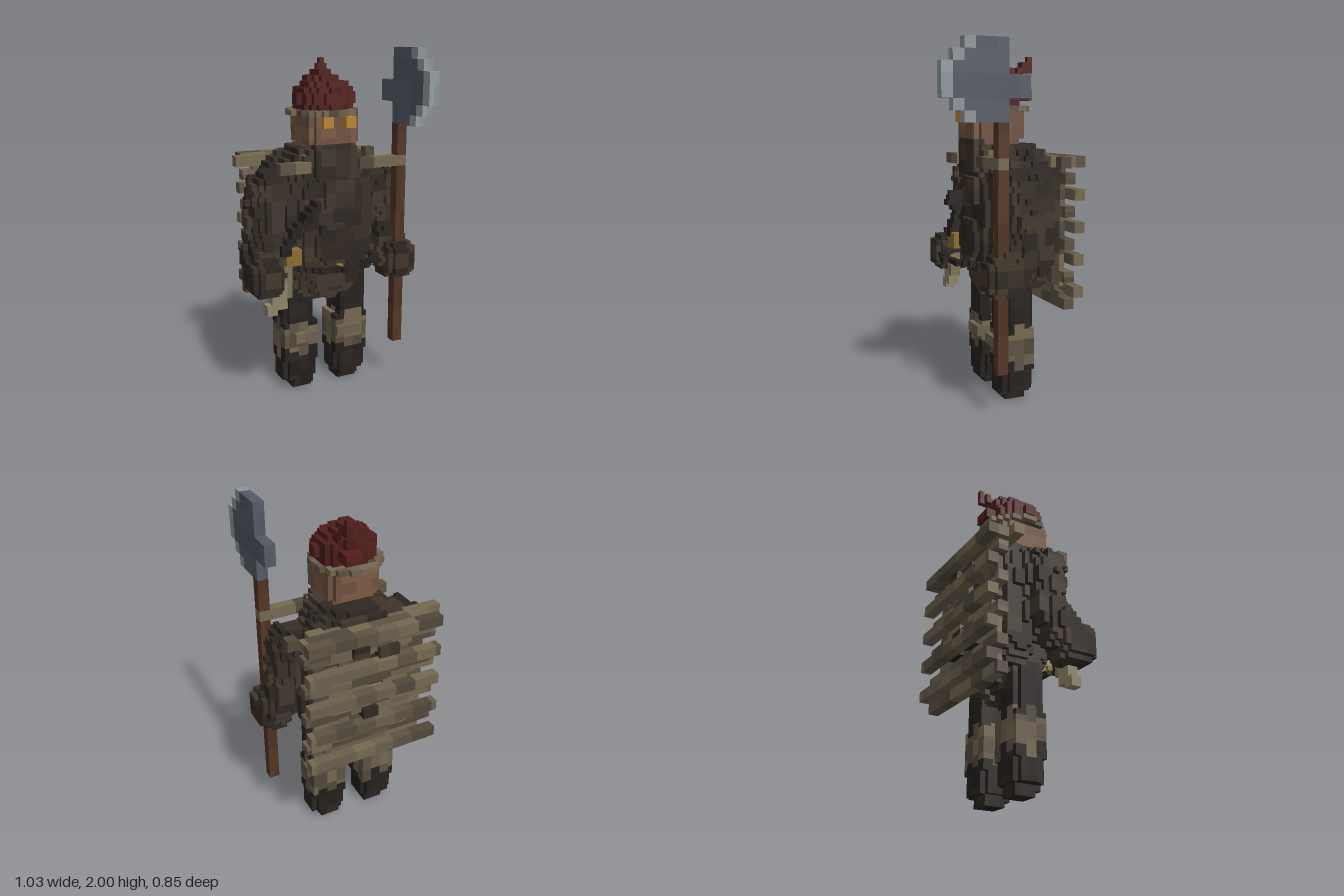
import * as THREE from 'three';

const U = 2 / 66; // edge of one cube
const FUR = [0x302821, 0x382f27, 0x41362c, 0x2b2520];
const TAN = [0x6b5f4e, 0x5d5243, 0x74684f, 0x51483b];
const DARK = [0x26211f, 0x2b2522, 0x211d1b];
const WOOD = [0x543625, 0x4d3122];
const RED = [0x4f1e1b, 0x571f1d, 0x461a18];
const SKIN = [0x7a5a45, 0x6e503e];
const STEEL = [0x555a66, 0x505561];
const EDGE = [0x8b9499, 0x949da1];

// repeatable 0..1 noise from a cell
function hash(x, y, z) {
  let h = (x * 374761393 + y * 668265263 + z * 1274126177) | 0;
  h = Math.imul(h ^ (h >>> 13), 1274126177);
  return ((h ^ (h >>> 16)) >>> 0) / 4294967296;
}
const noise = (x, y, z, n) => hash(Math.floor(x / n), Math.floor(y / n), Math.floor(z / n));

const DIRS = [[1, 0, 0], [-1, 0, 0], [0, 1, 0], [0, -1, 0], [0, 0, 1], [0, 0, -1]];

// cube-built part: paint(x,y,z) gives a palette, or null where empty
function voxels(name, [x0, y0, z0], [x1, y1, z1], paint, patch = [3, 3, 3]) {
  const at = (x, y, z) => x >= x0 && x < x1 && y >= y0 && y < y1 && z >= z0 && z < z1
    ? paint(x + 0.5, y + 0.5, z + 0.5) : null;
  const byColor = new Map();
  for (let x = x0; x < x1; x++) for (let y = y0; y < y1; y++) for (let z = z0; z < z1; z++) {
    const pal = at(x, y, z);
    if (!pal) continue;
    const n = hash(Math.floor(x / patch[0]), Math.floor(y / patch[1]), Math.floor(z / patch[2]));
    const color = pal[Math.floor(n * pal.length)];
    if (!byColor.has(color)) byColor.set(color, []);
    const out = byColor.get(color);
    for (const d of DIRS) {
      if (at(x + d[0], y + d[1], z + d[2])) continue;
      const a = d.findIndex((v) => v !== 0), b = (a + 1) % 3, c = (a + 2) % 3;
      const corner = (s, t) => {
        const p = [x, y, z];
        if (d[a] > 0) p[a] += 1;
        p[b] += s; p[c] += t;
        return p.map((v) => v * U);
      };
      const q = [corner(0, 0), corner(1, 0), corner(1, 1), corner(0, 1)];
      if (d[a] < 0) q.reverse();
      for (const i of [0, 1, 2, 0, 2, 3]) out.push(...q[i]);
    }
  }
  const part = new THREE.Group();
  part.name = name;
  for (const [color, pos] of byColor) {
    if (!pos.length) continue;
    const g = new THREE.BufferGeometry();
    g.setAttribute('position', new THREE.Float32BufferAttribute(pos, 3));
    g.computeVertexNormals();
    const mesh = new THREE.Mesh(g, new THREE.MeshStandardMaterial({ color }));
    mesh.name = name;
    part.add(mesh);
  }
  return part;
}

const block = (name, lo, hi, pal, patch) => voxels(name, lo, hi, () => pal, patch);

// rounded solid; power 2 is an ellipsoid, higher is boxier
const inBlob = (x, y, z, c, r, p = 2) =>
  Math.abs((x - c[0]) / r[0]) ** p + Math.abs((y - c[1]) / r[1]) ** p + Math.abs((z - c[2]) / r[2]) ** p <= 1;

// limb swept between two points with changing radius
function inLimb(x, y, z, a, b, ra, rb) {
  const p = new THREE.Vector3(x, y, z), A = new THREE.Vector3(...a);
  const ab = new THREE.Vector3(...b).sub(A);
  const t = THREE.MathUtils.clamp(p.clone().sub(A).dot(ab) / ab.lengthSq(), 0, 1);
  const lump = (noise(x, y, z, 2) - 0.5) * 0.9;
  return p.distanceTo(A.addScaledVector(ab, t)) <= ra + (rb - ra) * t + lump;
}

export function createModel() {
  const model = new THREE.Group();
  const add = (...parts) => model.add(...parts);

  // fur coat with a round belly, tapered hem and broad cape at the back
  add(voxels('coat', [-12, 18, -11], [12, 48, 4], (x, y, z) => {
    const lump = 1 + (noise(x, y, z, 3) - 0.5) * 0.06;
    const body = inBlob(x, y, z, [0, 33, -3], [10.3 * lump, 15.3 * lump, 6.2], y < 33 ? 2.4 : 3);
    const belly = inBlob(x, y, z, [0, 30, -3], [9.5, 9, 6.9], 2.3);
    const cape = inBlob(x, y, z, [0, 34, -6], [11.4 * lump, 13.5, 4.3], 3.5);
    return body || belly || cape ? FUR : null;
  }));
  add(block('bellyPlate', [-3, 27, 3], [3, 34, 4], FUR, [6, 7, 1]));
  add(block('chestPatch', [-2, 37, 2], [4, 42, 4], FUR, [6, 5, 2]));

  for (const s of [-1, 1]) {
    // arms and hands
    add(voxels(s > 0 ? 'leftArm' : 'rightArm', [-17, 22, -8], [17, 46, 6], (x, y, z) => {
      const X = x * s;
      if (X < 6) return null;
      const arm = inLimb(X, y, z, [11, 40.3, -2], [12.2, 33, -2], 4, 3.7) ||
        inLimb(X, y, z, [12.2, 33, -2], [13.4, 27, 0.3], 3.7, 3.7);
      const hand = inBlob(X, y, z, [13.8, 25.5, 2.2], [3.4, 3.9, 3.9], 2.6);
      return arm || hand ? FUR : null;
    }));

    // legs: boots, wrapped shins and trousers
    add(voxels(s > 0 ? 'leftLeg' : 'rightLeg', [-9, 0, -6], [9, 23, 0], (x, y, z) => {
      const X = x * s;
      if (X < (y < 14 ? 2 : 3)) return null;
      if (y < 2 && (X < 3 || X > 7 || z > (y < 1 ? -1 : 0) || z < -5)) return null;
      const corner = (X < 3 || X > 8) && (z > -1 || z < -5);
      if (corner && (y < 6 || y > 14)) return null;
      const ragged = hash(Math.floor(x / 2), 5, Math.floor(z / 2)) * 3;
      return y > 6 + ragged && y < 15.5 - ragged ? TAN : DARK;
    }, [2, 3, 2]));
    const k = s > 0 ? 2 : -7;
    add(block('kneePad', [k, 10, 0], [k + 5, 12, 1], TAN, [5, 2, 1]));

    // bar over the front of the shoulder
    add(block('shoulderBar', [s > 0 ? 5 : -11, 44, 2], [s > 0 ? 15 : -5, 46, 4], TAN, [4, 2, 2]));
    // strap running back over the shoulder
    add(block('shoulderStrap', [s > 0 ? 5 : -6, 46, -5], [s > 0 ? 6 : -5, 47, 2], TAN));
  }

  // slatted board on the back: proud slats, set-back slats and a worn panel
  for (let i = 0; i < 5; i++) {
    const y = 20 + i * 6;
    add(block('outerSlat', [-13, y, -14], [13, y + 2, -12], TAN, [4, 2, 2]));
    const yi = i === 0 ? 18 : y - 3;
    add(block('innerSlat', [-13, yi, -12], [13, yi + 2, -10], TAN, [4, 2, 2]));
  }
  add(voxels('boardPanel', [-11, 20, -11], [11, 46, -10], (x, y) =>
    hash(Math.floor(x / 3), Math.floor(y), 3) < 0.08 ? null : TAN, [4, 2, 2]));
  add(block('upperBackSlat', [-13, 44, -12], [13, 46, -10], TAN, [4, 2, 2]));
  add(block('topSlat', [-15, 44, -10], [11, 46, -8], TAN, [4, 2, 2]));
  add(block('topSlatEnd', [13, 44, -10], [15, 46, -8], TAN, [4, 2, 2]));
  // cloth bulging out between the slats
  for (const [x, y, w] of [[-5, 40, 4], [1, 41, 3], [-1, 28, 3]])
    add(block('clothTuft', [x, y, -13], [x + w, y + 2, -10], FUR));
  add(voxels('clothFold', [-5, 45, -13], [5, 47, -9], (x, y, z) =>
    inBlob(x, 0, z, [0.5, 0, -9], [4.8, 1, 3.9]) && (y < 46 || z > -10) ? FUR : null));

  // rope hoop around the waist
  add(voxels('waistRope', [-11, 26, -13], [11, 27, 9], (x, y, z) => {
    const r = Math.hypot(x, z + 2);
    return r > 9.6 && r < 10.6 ? DARK : null;
  }));
  add(block('buckle', [-1, 26, 6], [0, 27, 7], [0x8f7434]));
  // slanting chest strap with a raised end
  add(voxels('chestStrap', [-11, 29, 2], [-4, 39, 6], (x, y, z) =>
    Math.abs((y - 39) - (x + 4) * 1.5) < 1.5 && z < (y > 36 ? 6 : y > 35 ? 5 : 4) ? DARK : null));

  // pouch and hanging charms on the right hip
  add(block('pouch', [-10, 27, 2], [-7, 30, 4], [0x8a6c2e]));
  for (const [x, y, w, h] of [[-11, 24, 2, 3], [-11, 21, 2, 3], [-13, 19, 3, 3], [-14, 18, 2, 2]])
    add(block('charm', [x, y, 2], [x + w, y + h, 4], [0x8d8468, 0x7a7159], [2, 2, 2]));

  // head, scarf and eyes
  add(voxels('head', [-5, 47, -6], [5, 54, 4], (x, y, z) => {
    if (Math.abs(x) > 4 && (z < -5 || z > 3)) return null;
    if (y < 49 && (Math.abs(x) > 4 || z < -5 || z > 2)) return null;
    return SKIN;
  }, [3, 2, 3]));
  add(voxels('scarf', [-7, 43, -9], [7, 50, 4], (x, y, z) => {
    const wrap = y < 48 && inBlob(x, 0, z, [0, 0, -2.5], [y < 47 ? 7 : 6, 1, 6.3], 3);
    const mask = z > 2 && Math.abs(x) < 4;
    return mask || wrap ? FUR : null;
  }));
  add(block('rightEye', [-3, 52, 3], [-1, 54, 5], [0xb98430]));
  add(block('leftEye', [1, 52, 3], [3, 54, 6], [0xb98430]));

  // hat with a thin tan brim, a rounded crown and a bent tip
  add(voxels('hatBrim', [-7, 54, -8], [6, 55, 5], (x, y, z) =>
    inBlob(x, 0, z, [-0.3, 0, -1.5], [6.4, 1, 6.5]) ? TAN : null, [2, 1, 2]));
  add(voxels('hat', [-6, 55, -8], [6, 64, 4], (x, y, z) => {
    const cap = inBlob(x, y, z, [0, 57, -1.2], [5.7, 3.6, 5.2]);
    const crown = inBlob(x, y, z, [0.3, 59.6, -3], [3.2, 2.3, 3]);
    const tip = inLimb(x, y, z, [1, 60, -4], [2.2, 62, -6.5], 1.8, 0.9);
    return cap || crown || tip ? RED : null;
  }, [3, 2, 3]));
  add(block('hatTip', [2, 61, -8], [3, 64, -7], RED));
  add(block('hatKnot', [-1, 56, -8], [3, 58, -5], RED));

  // long axe held on the left side
  add(block('axeHandle', [13, 8, 2], [15, 52, 4], WOOD, [2, 5, 2]));
  add(voxels('axeHead', [13, 52, -2], [15, 66, 14], (x, y, z) => {
    const off = Math.abs(y - 59);
    if (z < 2) return y > 56 && y < 60 ? STEEL : null;
    const reach = off < 3 ? 14 : off < 5 ? 12 : 10;
    return z > reach ? null : z > reach - 2 ? EDGE : STEEL;
  }, [2, 4, 4]));

  return model;
}
